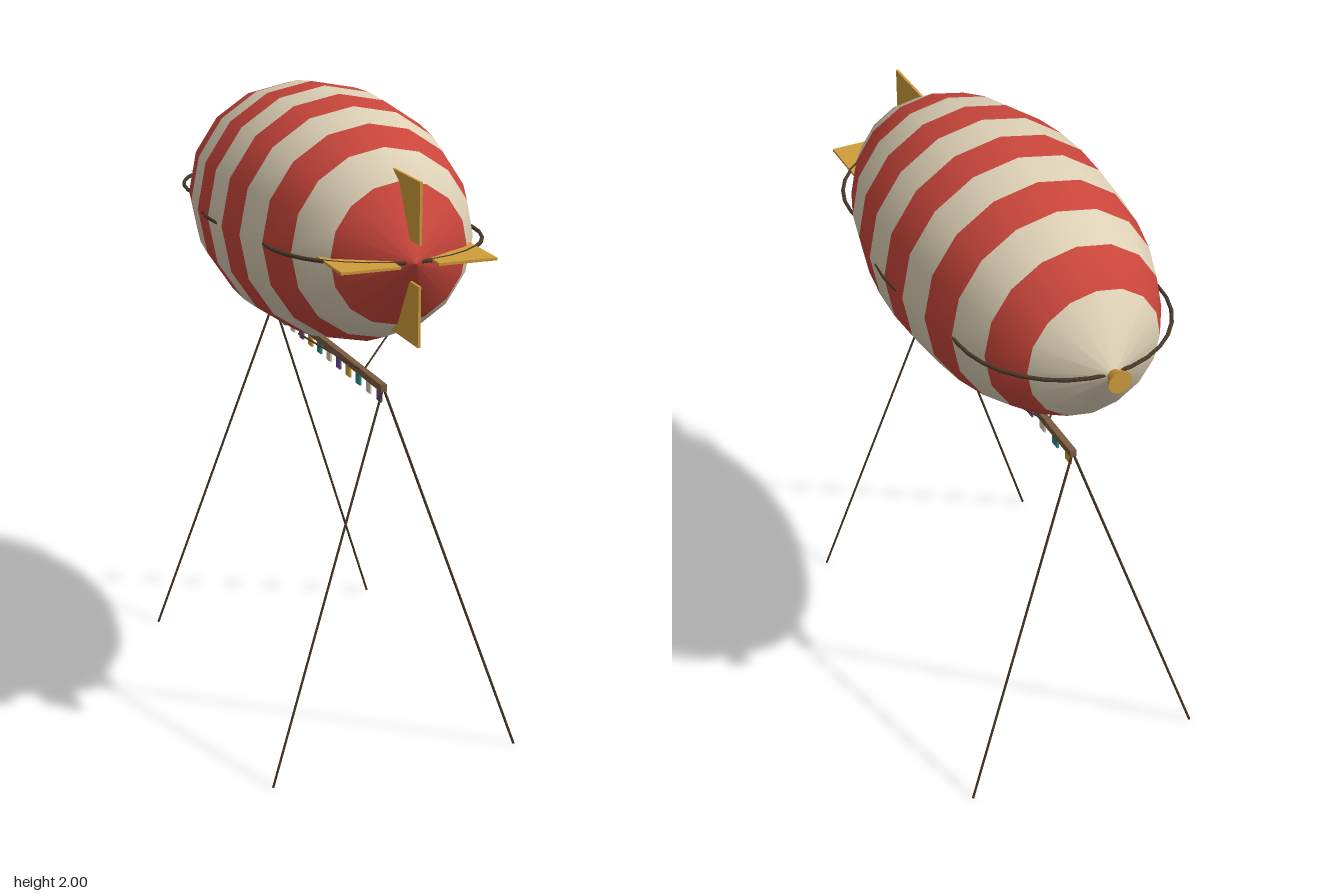
import * as THREE from 'three';

const material = (name, color) => {
  const m = new THREE.MeshStandardMaterial({ color });
  m.name = name;
  return m;
};

export function createModel() {
  const model = new THREE.Group();
  model.name = 'airship';

  const red = material('red canvas', 0xc9463b);
  const cream = material('cream canvas', 0xddd0b5);
  const gold = material('gold', 0xd19d3b);
  const wood = material('brown wood', 0x7a5c40);
  const rope = material('dark rope', 0x4a3a29);
  const teal = material('teal cloth', 0x2a8c88);
  const purple = material('purple cloth', 0x704a8c);

  const add = (name, geometry, mat, x = 0, y = 0, z = 0) => {
    const mesh = new THREE.Mesh(geometry, mat);
    mesh.name = name;
    mesh.position.set(x, y, z);
    model.add(mesh);
    return mesh;
  };

  // Thin rod between two points
  const rod = (name, a, b, radius, mat) => {
    const from = new THREE.Vector3(...a), to = new THREE.Vector3(...b);
    const dir = to.clone().sub(from);
    const mesh = add(name, new THREE.CylinderGeometry(radius, radius, dir.length(), 6), mat);
    mesh.position.copy(from).add(to).multiplyScalar(0.5);
    mesh.quaternion.setFromUnitVectors(new THREE.Vector3(0, 1, 0), dir.normalize());
  };

  // Hull: an ellipsoid in twelve bands of equal length, alternating in colour
  const hullY = 1.62, hullR = 0.38, halfLength = 0.73, bands = 12;
  const profile = [];
  for (let i = 0; i <= bands; i++) {
    const t = (2 * i) / bands - 1;
    profile.push(new THREE.Vector2(hullR * Math.sqrt(Math.max(0, 1 - t * t)), t * halfLength));
  }
  const hull = new THREE.LatheGeometry(profile, 16).rotateX(Math.PI / 2);
  const hullIndex = Array.from(hull.index.array);
  ['creamStripes', 'redStripes'].forEach((name, parity) => {
    const stripes = hull.clone();
    stripes.setIndex(hullIndex.filter((_, k) => (Math.floor(k / 6) % bands) % 2 === parity));
    add(name, stripes, parity ? red : cream, 0, hullY, 0);
  });

  // Level rope hoops at the middle and both ends
  for (const [z, r] of [[-0.388, 0.326], [0, 0.38], [0.388, 0.326]]) {
    add('ropeHoop', new THREE.TorusGeometry(r, 0.006, 6, 32).rotateX(Math.PI / 2), rope, 0, hullY, z);
  }

  // Flared cone at the rear tip, wide end outwards
  add('tailCone', new THREE.ConeGeometry(0.037, 0.08, 12).rotateX(Math.PI / 2), gold, 0, hullY, -0.72)
    .rotation.y = 0;
  model.getObjectByName('tailCone').geometry.rotateX(0);

  // Four flat fins at the front end
  for (const s of [-1, 1]) {
    add('verticalFin', new THREE.BoxGeometry(0.008, 0.178, 0.22), gold, 0, hullY + s * 0.148, 0.65);
    add('sideFin', new THREE.BoxGeometry(0.178, 0.008, 0.22), gold, s * 0.146, hullY, 0.65);
  }

  // Ridge beam, splayed legs and sling ropes
  add('ridgeBeam', new THREE.BoxGeometry(0.02, 0.022, 1.006), wood, 0, 1.184, 0);
  for (const sx of [-1, 1]) {
    for (const sz of [-1, 1]) {
      rod('leg', [0, 1.185, sz * 0.497], [sx * 0.4, 0, sz * 0.63], 0.004, rope);
      rod('slingRope', [0, 1.188, sz * 0.335], [sx * 0.16, 1.285, sz * 0.2], 0.003, rope);
    }
  }

  // Row of small flags under the beam
  const flagColors = [purple, cream, teal, gold];
  for (let i = 0; i < 12; i++) {
    add('flag', new THREE.BoxGeometry(0.006, 0.04, 0.033), flagColors[i % 4], 0, 1.154, 0.466 - i * 0.0852);
  }

  return model;
}
